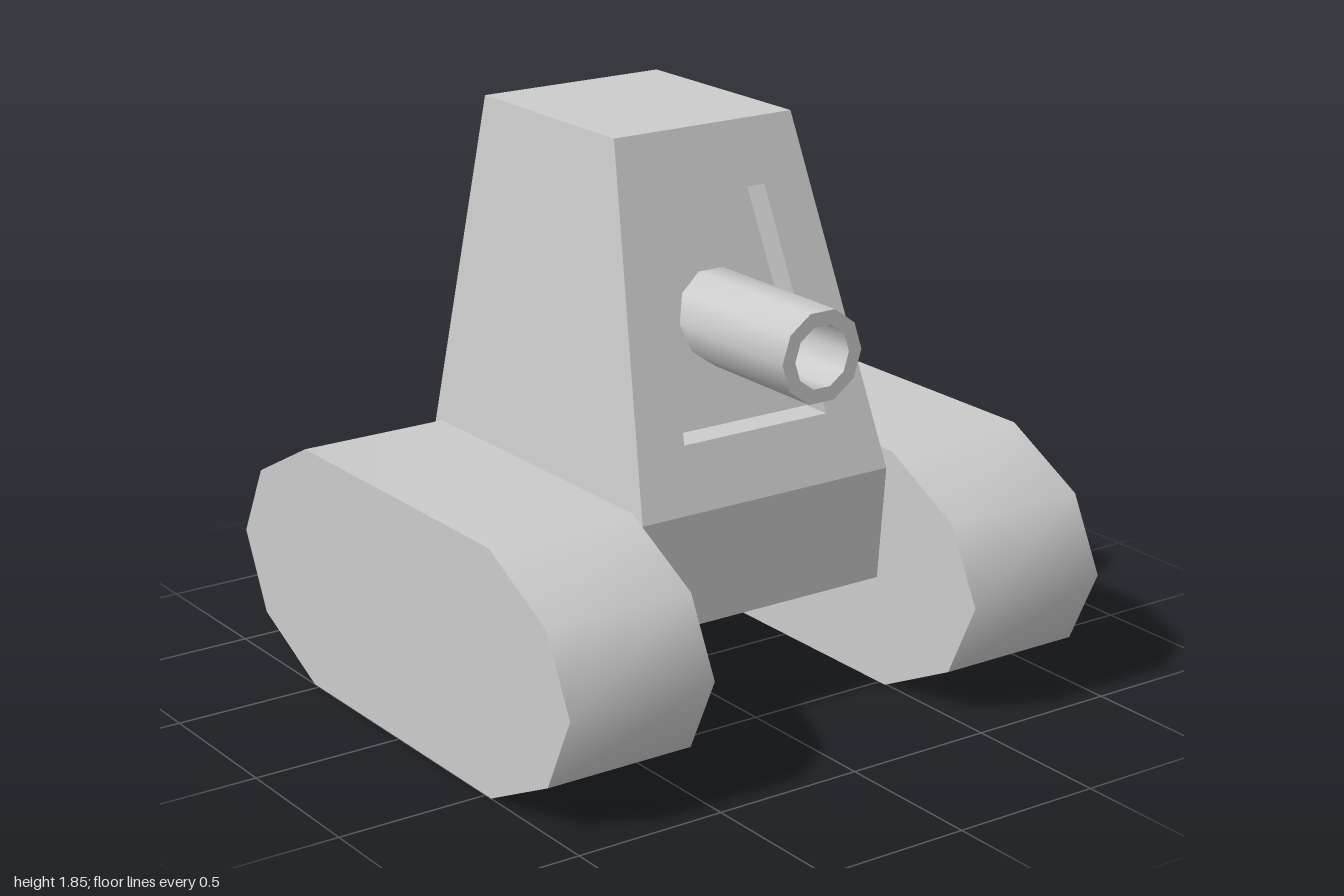
import * as THREE from 'three';
import { toCreasedNormals } from 'three/addons/utils/BufferGeometryUtils.js';

const material = new THREE.MeshStandardMaterial({ color: 0xcccccc });

function addMesh(parent, name, geometry) {
  const mesh = new THREE.Mesh(geometry, material);
  mesh.name = name;
  parent.add(mesh);
  return mesh;
}

// Flat-shaded geometry from convex polygons, corners counter-clockwise from outside
function fromPolygons(polygons) {
  const positions = [];
  for (const p of polygons) {
    for (let i = 1; i < p.length - 1; i++) positions.push(...p[0], ...p[i], ...p[i + 1]);
  }
  const geometry = new THREE.BufferGeometry();
  geometry.setAttribute('position', new THREE.Float32BufferAttribute(positions, 3));
  geometry.computeVertexNormals();
  return geometry;
}

// Quads bridging two closed loops of corners
function bridge(a, b) {
  return a.map((p, i) => {
    const j = (i + 1) % a.length;
    return [p, a[j], b[j], b[i]];
  });
}

const polygonPoints = (radius, sides) =>
  Array.from({ length: sides }, (_, i) => {
    const t = (i / sides) * Math.PI * 2;
    return new THREE.Vector2(radius * Math.cos(t), radius * Math.sin(t));
  });

function hullGeometry() {
  const frontZ = (y) => 0.21 + (0.34 * (1.85 - y)) / 1.1;
  // Trapezoid lying on the sloping front, set back by an inset
  const frontLoop = (y0, x0, y1, x1, inset = 0) => [
    [-x0, y0, frontZ(y0) - inset], [x0, y0, frontZ(y0) - inset],
    [x1, y1, frontZ(y1) - inset], [-x1, y1, frontZ(y1) - inset],
  ];
  const outer = frontLoop(0.75, 0.465, 1.85, 0.33);
  const opening = frontLoop(0.95, 0.27, 1.65, 0.185);
  const panel = frontLoop(0.95, 0.27, 1.65, 0.185, 0.1);
  const [waistFR, waistFL, topFL, topFR] = outer;
  const topBL = [0.33, 1.85, -0.51], topBR = [-0.33, 1.85, -0.51];
  const waistBL = [0.465, 0.75, -0.635], waistBR = [-0.465, 0.75, -0.635];
  // Underside: raised nose, crease, then a nearly level belly
  const [noseL, creaseL, tailL] = [[0.485, 0.36, 0.49], [0.485, 0.275, 0.23], [0.485, 0.25, -0.55]];
  const [noseR, creaseR, tailR] = [noseL, creaseL, tailL].map(([x, y, z]) => [-x, y, z]);
  return fromPolygons([
    ...bridge(outer, opening), ...bridge(opening, panel), panel,
    [topFR, topFL, topBL, topBR],
    [waistFL, waistBL, topBL, topFL],
    [waistBR, waistFR, topFR, topBR],
    [waistBL, waistBR, topBR, topBL],
    [noseR, noseL, waistFL, waistFR],
    [tailL, tailR, waistBR, waistBL],
    [waistFL, noseL, creaseL, tailL, waistBL],
    [waistFR, waistBR, tailR, creaseR, noseR],
    [noseL, noseR, creaseR, creaseL],
    [creaseL, creaseR, tailR, tailL],
  ]);
}

// Ten-sided track outline, extruded sideways, with a smooth rim
function trackGeometry() {
  const half = [[0.53, 0], [0.84, 0.15], [0.96, 0.4], [0.84, 0.64], [0.54, 0.795]];
  const outline = [...half, ...half.map(([z, y]) => [-z, y]).reverse()];
  const shape = new THREE.Shape(outline.map(([z, y]) => new THREE.Vector2(z, y)));
  const geometry = new THREE.ExtrudeGeometry(shape, { depth: 0.505, bevelEnabled: false });
  geometry.rotateY(-Math.PI / 2);
  geometry.translate(0.2525, 0, 0);
  return toCreasedNormals(geometry, 1.0);
}

// Hollow ten-sided barrel reaching back to the recessed panel
function barrelGeometry() {
  const shape = new THREE.Shape(polygonPoints(0.147, 10));
  shape.holes.push(new THREE.Path(polygonPoints(0.1, 10).reverse()));
  const geometry = new THREE.ExtrudeGeometry(shape, { depth: 0.57, bevelEnabled: false });
  geometry.translate(0, 1.262, 0.24);
  return toCreasedNormals(geometry, 0.7);
}

export function createModel() {
  const model = new THREE.Group();
  model.name = 'tank';
  addMesh(model, 'hull', hullGeometry());
  addMesh(model, 'barrel', barrelGeometry());
  const track = trackGeometry();
  for (const [name, side] of [['leftTrack', 1], ['rightTrack', -1]]) {
    addMesh(model, name, track).position.x = side * 0.7475;
  }
  return model;
}
